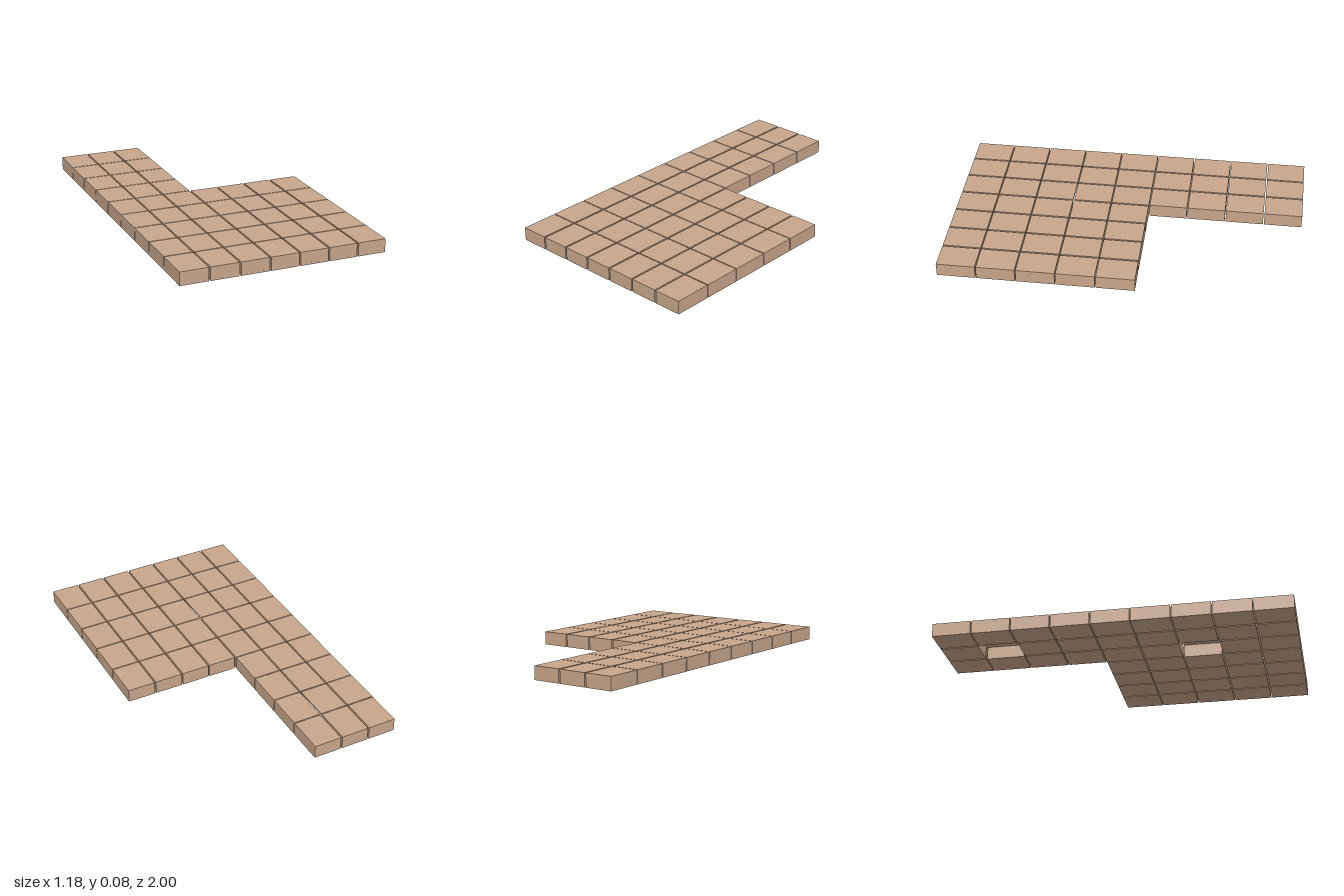
import * as THREE from 'three';

const COLS = 7, ROWS = 9;
const TILE_W = 0.161, TILE_L = 0.217, HEIGHT = 0.077;
const PITCH_X = 0.1698, PITCH_Z = (2 - TILE_L) / (ROWS - 1);

// Tiles hollowed from below, leaving only a thin top plate: [column, row]
const HOLLOW = [[1, 1], [2, 6]];
const PLATE = 0.008;

export function createModel() {
  const group = new THREE.Group();
  group.name = 'tiledFloor';
  const material = new THREE.MeshStandardMaterial({ color: 0xc8a58a });
  const blockGeometry = new THREE.BoxGeometry(TILE_W, HEIGHT, TILE_L);
  const plateGeometry = new THREE.BoxGeometry(TILE_W, PLATE, TILE_L);

  // L-shaped layout: narrow three-column arm at the back, full width in front
  for (let row = 0; row < ROWS; row++) {
    const count = row < 4 ? 3 : COLS;
    for (let col = 0; col < count; col++) {
      const hollow = HOLLOW.some(([c, r]) => c === col && r === row);
      const tile = new THREE.Mesh(hollow ? plateGeometry : blockGeometry, material);
      tile.name = `${hollow ? 'thinTile' : 'tile'}Row${row + 1}Column${col + 1}`;
      tile.position.set(
        (col - (COLS - 1) / 2) * PITCH_X,
        hollow ? HEIGHT - PLATE / 2 : HEIGHT / 2,
        (row - (ROWS - 1) / 2) * PITCH_Z
      );
      group.add(tile);
    }
  }
  return group;
}
